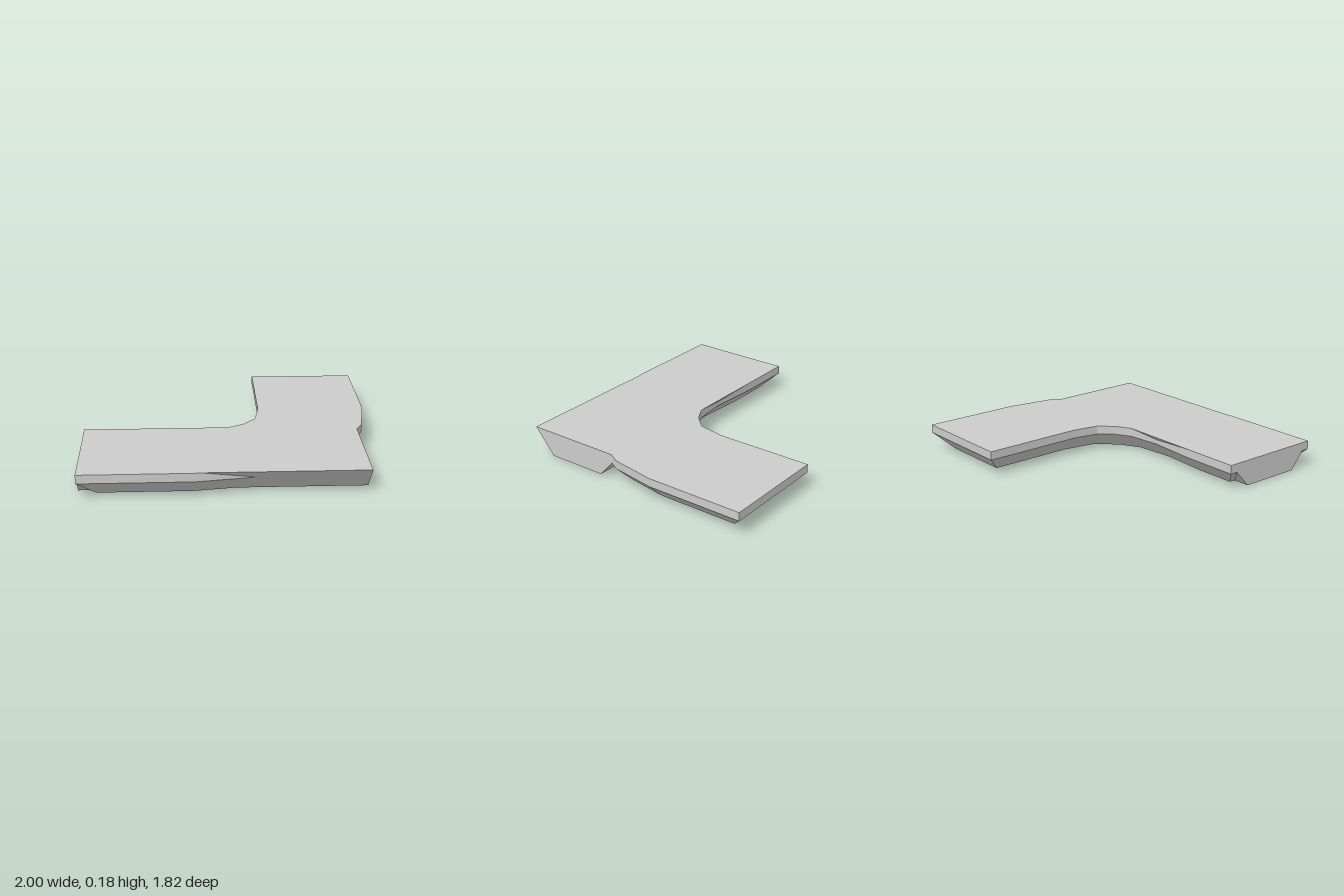
import * as THREE from 'three';
import { toCreasedNormals } from 'three/addons/utils/BufferGeometryUtils.js';

const material = new THREE.MeshStandardMaterial({ color: 0xcccccc });

// Closed solid from rings of [x, z] corners, listed from the top ring down
function loft(name, rings, heights) {
  const pos = [];
  const push = (r, i) => pos.push(rings[r][i][0], heights[r], rings[r][i][1]);
  const n = rings[0].length;
  const last = rings.length - 1;
  for (let r = 0; r < last; r++) {
    for (let i = 0; i < n; i++) {
      const j = (i + 1) % n;
      push(r + 1, i); push(r + 1, j); push(r, j);
      push(r + 1, i); push(r, j); push(r, i);
    }
  }
  const cap = (r) => THREE.ShapeUtils.triangulateShape(
    rings[r].map(([x, z]) => new THREE.Vector2(x, -z)), []);
  for (const [a, b, c] of cap(0)) { push(0, a); push(0, b); push(0, c); }
  for (const [a, b, c] of cap(last)) { push(last, a); push(last, c); push(last, b); }
  const geometry = new THREE.BufferGeometry();
  geometry.setAttribute('position', new THREE.Float32BufferAttribute(pos, 3));
  const mesh = new THREE.Mesh(toCreasedNormals(geometry, 0.55), material);
  mesh.name = name;
  return mesh;
}

// Mitred inward offset of an outline
function inset(points, d) {
  const n = points.length;
  const normal = (p, q) => new THREE.Vector2(q[1] - p[1], p[0] - q[0]).normalize();
  return points.map((p, i) => {
    const a = normal(points[(i + n - 1) % n], p);
    const b = normal(p, points[(i + 1) % n]);
    const k = d / (1 + a.dot(b));
    return [p[0] + (a.x + b.x) * k, p[1] + (a.y + b.y) * k];
  });
}

export function createModel() {
  const group = new THREE.Group();
  group.name = 'cornerPlatform';

  // Curved slab: straight arms joined by a wide outer bend and a tight inner bend
  const outline = [[-1, 0.91]];
  for (const deg of [90, 72, 54, 36, 17, 0]) {
    const a = THREE.MathUtils.degToRad(deg);
    outline.push([-0.24 + 1.24 * Math.cos(a), -0.2 + 1.11 * Math.sin(a)]);
  }
  outline.push([1, -0.91], [0.235, -0.91], [0.235, -0.2], [0.2, -0.01],
    [0.11, 0.085], [0, 0.145], [-0.24, 0.17], [-0.59, 0.145], [-1, 0.145]);
  group.add(loft('curvedSlab', [outline, outline, inset(outline, 0.12)], [0.18, 0.12, 0]));

  // Straight slab: upright ends, long sides sloping in to the base
  const rect = (back, front) => [[-1, front], [0.9, front], [0.9, back], [-1, back]];
  group.add(loft('straightSlab', [rect(0.145, 0.905), rect(0.31, 0.75)], [0.18, 0]));

  return group;
}
